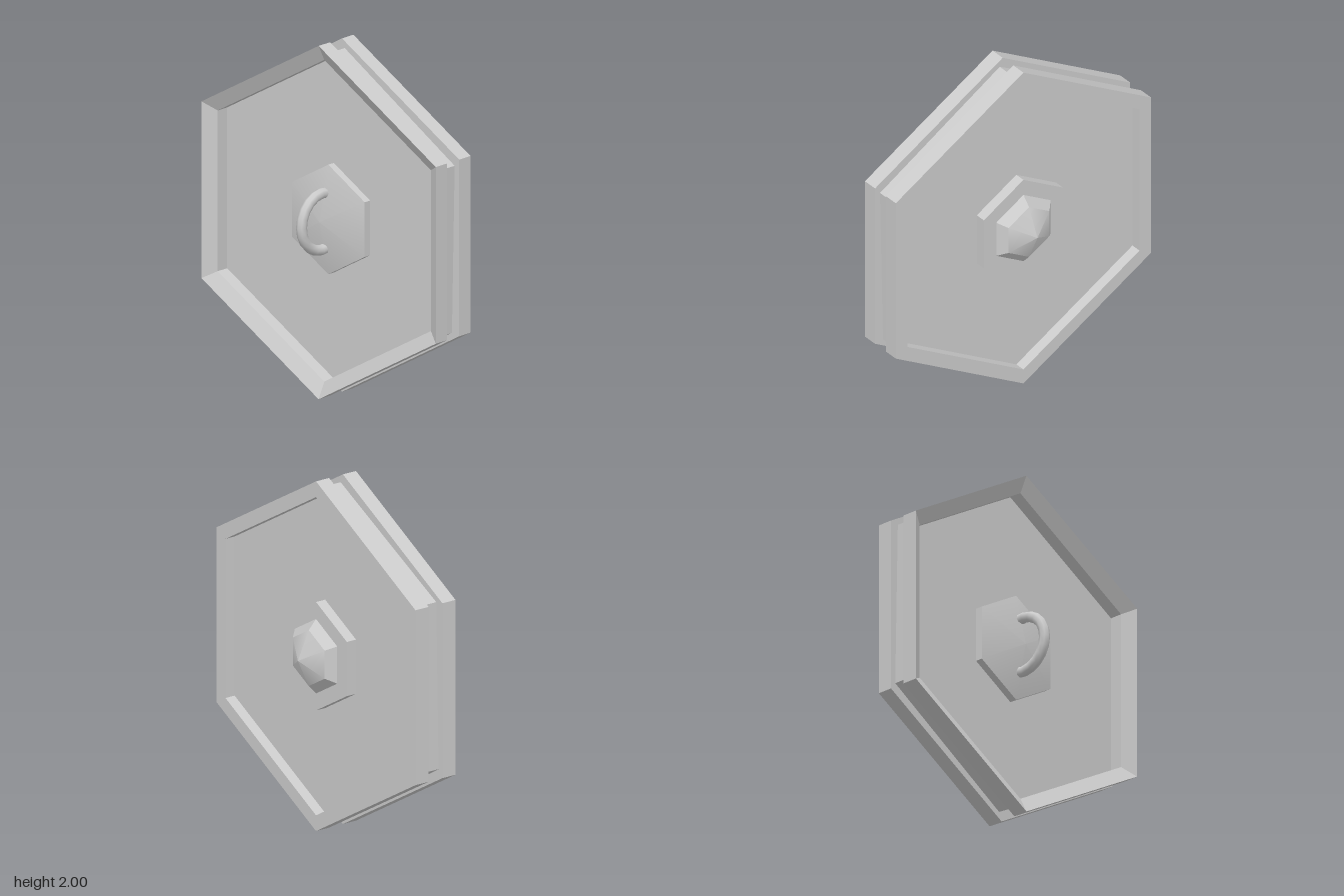
import * as THREE from 'three';
import { toCreasedNormals } from 'three/addons/utils/BufferGeometryUtils.js';

const material = new THREE.MeshStandardMaterial({ color: 0xcccccc });

// Six-sided solid turned about the x axis; profile is [radius, x] pairs, one corner points up.
function hexPart(name, profile, twist = 0) {
  const points = profile.map(([r, x]) => new THREE.Vector2(r, x));
  const lathe = new THREE.LatheGeometry(points, 6, Math.PI / 6);
  lathe.rotateZ(-Math.PI / 2);
  lathe.rotateX(twist);
  const mesh = new THREE.Mesh(toCreasedNormals(lathe, 0.5), material);
  mesh.name = name;
  return mesh;
}

export function createModel() {
  const group = new THREE.Group();
  group.name = 'hexagonalShield';

  group.add(
    // Front plate: flat rim around a shallow recess
    hexPart('frontPlate', [[0.9, 0.065], [1, 0.065], [1, 0.155], [0.91, 0.155], [0.91, 0.092], [0, 0.092]]),
    // Slightly twisted core band at the bottom of the edge groove
    hexPart('grooveCore', [[0.95, -0.03], [0.95, 0.065]], 0.021),
    // Back plate: dished rim around a deeper recess
    hexPart('backPlate', [[0, 0], [0.91, 0], [0.91, -0.075], [1, -0.12], [1, -0.03], [0.9, -0.03]]),
    // Raised boss and pointed stud on the front
    hexPart('frontBoss', [[0.31, 0.092], [0.31, 0.155], [0, 0.155]]),
    hexPart('studBase', [[0.213, 0.155], [0.16, 0.205]]),
    hexPart('studTip', [[0.16, 0.205], [0, 0.28]]),
    // Low pointed boss on the back
    hexPart('backBossSide', [[0.31, -0.043], [0.31, 0]]),
    hexPart('backBossFace', [[0, -0.115], [0.31, -0.043]])
  );

  // Half-ring handle, its ends sunk into the back boss
  const sink = 0.25;
  const handle = new THREE.Mesh(new THREE.TorusGeometry(0.16, 0.03, 8, 12, Math.PI + 2 * sink), material);
  handle.name = 'handleRing';
  handle.rotation.z = Math.PI / 2 - sink;
  handle.position.x = -0.095;
  group.add(handle);

  // Stand the lowest corner on the ground
  group.children.forEach((part) => { part.position.y = 1; });
  return group;
}
